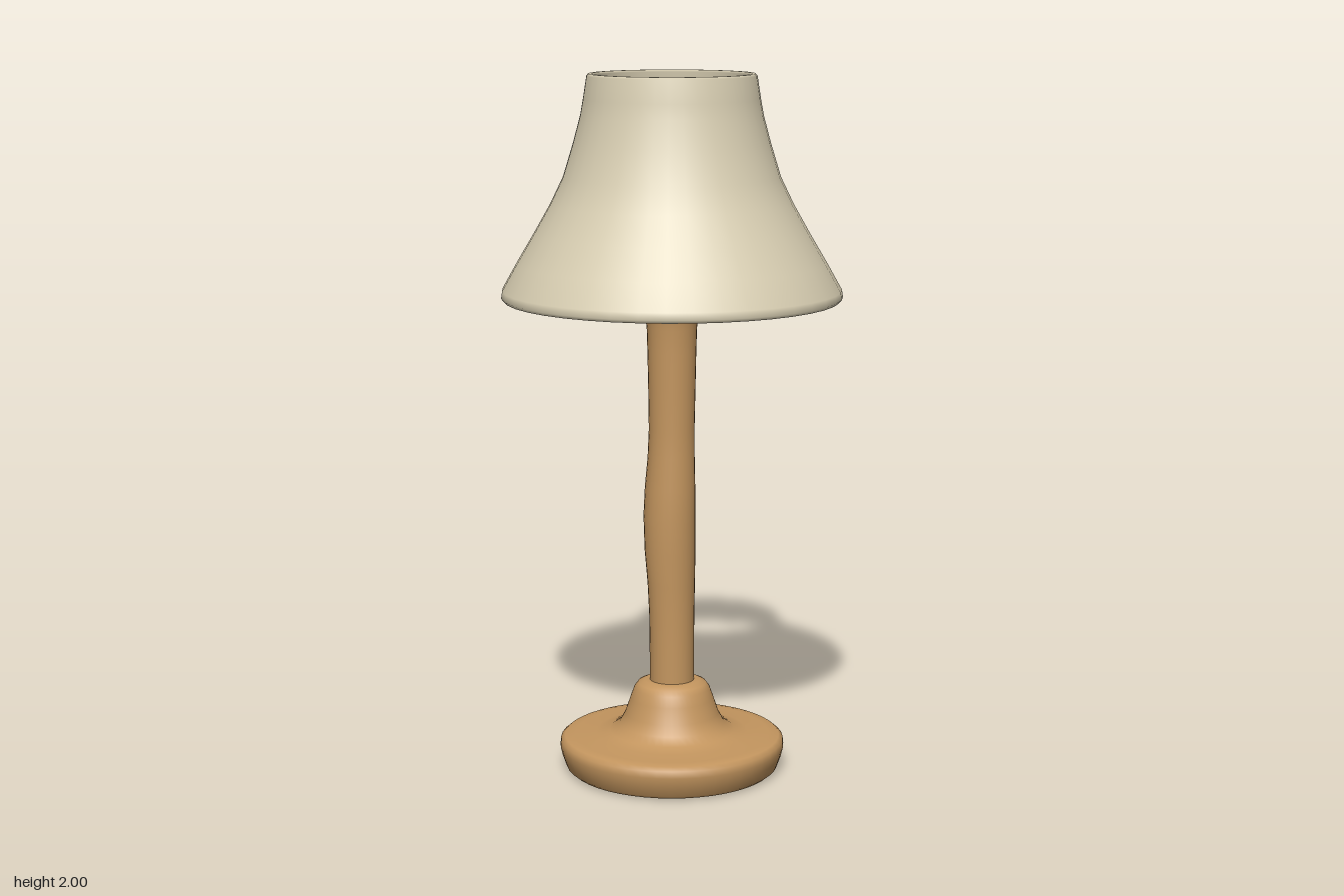
import * as THREE from 'three';

const wood = new THREE.MeshStandardMaterial({ color: 0xc4965f });
wood.name = 'wood';
const fabric = new THREE.MeshStandardMaterial({ color: 0xd8ceb2 });
fabric.name = 'shadeFabric';

// Profile of [radius, y] pairs spun around the y axis
function lathe(name, profile, material, sides) {
  const points = profile.map(([r, y]) => new THREE.Vector2(r, y));
  const mesh = new THREE.Mesh(new THREE.LatheGeometry(points, sides), material);
  mesh.name = name;
  return mesh;
}

// Thin horizontal rod between two radii, turned around y
function spoke(name, inner, outer, y, angle) {
  const geometry = new THREE.CylinderGeometry(0.006, 0.006, outer - inner, 8);
  geometry.rotateZ(Math.PI / 2);
  geometry.translate((inner + outer) / 2, y, 0);
  geometry.rotateY(angle);
  const mesh = new THREE.Mesh(geometry, wood);
  mesh.name = name;
  return mesh;
}

export function createModel() {
  const lamp = new THREE.Group();
  lamp.name = 'tableLamp';

  // Turned foot: flat disc rising through a concave neck
  lamp.add(lathe('base', [
    [0, 0], [0.28, 0], [0.295, 0.003], [0.306, 0.012], [0.318, 0.045],
    [0.324, 0.07], [0.322, 0.09], [0.31, 0.1], [0.28, 0.103], [0.22, 0.106],
    [0.18, 0.115], [0.152, 0.135], [0.135, 0.165], [0.12, 0.21], [0.109, 0.24],
    [0.098, 0.255], [0.08, 0.263], [0.06, 0.265], [0, 0.265],
  ], wood, 48));

  // Post with a slight hand-carved swelling and a flared top
  const post = lathe('post', [
    [0.064, 0.25], [0.064, 0.36], [0.065, 0.46], [0.068, 0.55], [0.073, 0.65],
    [0.074, 0.75], [0.072, 0.83], [0.067, 0.92], [0.065, 1.0], [0.067, 1.12],
    [0.069, 1.22], [0.071, 1.29], [0.077, 1.34], [0.088, 1.375], [0.1, 1.4],
    [0.103, 1.412], [0.098, 1.42], [0.088, 1.422], [0, 1.422],
  ], wood, 28);
  const pos = post.geometry.attributes.position;
  for (let i = 0; i < pos.count; i++) {
    const bend = Math.exp(-(((pos.getY(i) - 0.74) / 0.16) ** 2));
    pos.setX(i, pos.getX(i) - 0.006 * bend);
    pos.setZ(i, pos.getZ(i) + 0.004 * bend);
  }
  lamp.add(post);

  // Bell shade with wall thickness: outside up, over the rim, inside down
  lamp.add(lathe('shade', [
    [0.455, 1.37], [0.472, 1.371], [0.48, 1.38], [0.477, 1.4], [0.435, 1.475],
    [0.385, 1.56], [0.34, 1.64], [0.304, 1.715], [0.275, 1.81], [0.255, 1.885],
    [0.247, 1.93], [0.237, 1.994], [0.232, 2], [0.222, 2], [0.218, 1.994],
    [0.23, 1.92], [0.252, 1.82], [0.282, 1.715], [0.318, 1.64], [0.363, 1.56],
    [0.413, 1.475], [0.452, 1.4], [0.455, 1.37],
  ], fabric, 40));

  // Rods holding the shade; the front one is broken near the post
  lamp.add(spoke('leftSpoke', 0.08, 0.455, 1.395, 0));
  lamp.add(spoke('backSpoke', 0.08, 0.455, 1.395, Math.PI / 2));
  lamp.add(spoke('rightSpoke', 0.08, 0.455, 1.395, Math.PI));
  lamp.add(spoke('frontSpoke', 0.19, 0.455, 1.395, -Math.PI / 2));
  lamp.add(spoke('frontSpokeStub', 0.08, 0.12, 1.395, -Math.PI / 2));

  return lamp;
}
